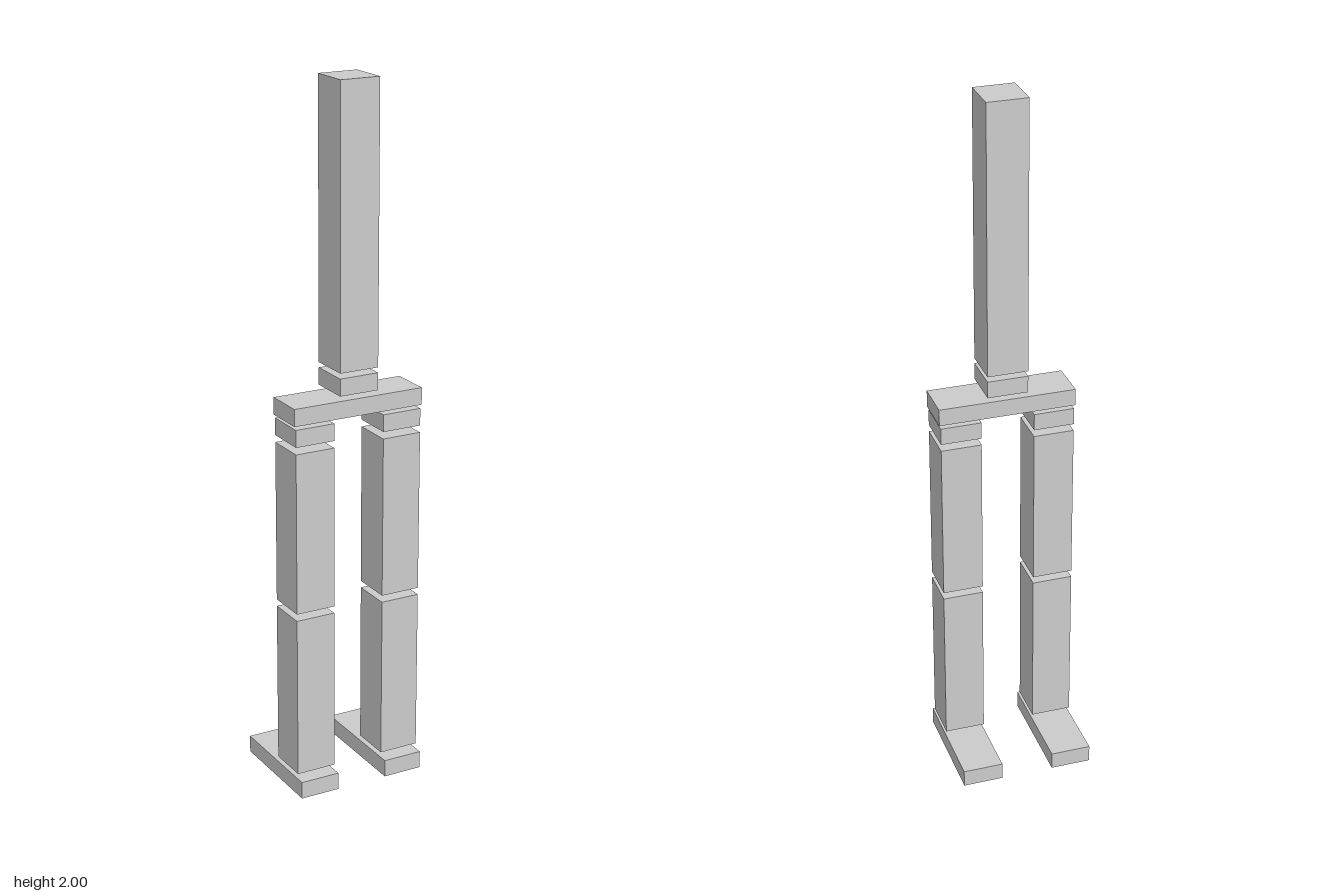
import * as THREE from 'three';

const LIMB_W = 0.116;  // width of torso and legs
const DEPTH = 0.12;    // common depth of the upper blocks
const BODY_Z = 0.078;  // body sits towards the front of the feet
const LEG_X = 0.134;   // leg offset from the centre line

const material = new THREE.MeshStandardMaterial({ color: 0xcccccc, flatShading: true });

// A block given by its bottom and top heights
function block(name, width, y0, y1, depth = DEPTH, z = BODY_Z) {
  const mesh = new THREE.Mesh(new THREE.BoxGeometry(width, y1 - y0, depth), material);
  mesh.name = name;
  mesh.position.set(0, (y0 + y1) / 2, z);
  return mesh;
}

// One leg: foot, shin, thigh and hip joint, stacked with small gaps
function makeLeg(name, x) {
  const leg = new THREE.Group();
  leg.name = name;
  leg.position.x = x;
  leg.add(
    block('foot', LIMB_W, 0, 0.05, 0.323, 0),
    block('shin', LIMB_W, 0.066, 0.533, ),
    block('thigh', LIMB_W, 0.553, 1.015),
    block('hipJoint', LIMB_W, 1.035, 1.084),
  );
  return leg;
}

export function createModel() {
  const model = new THREE.Group();
  model.name = 'blockFigure';

  // Legs
  model.add(makeLeg('leftLeg', LEG_X), makeLeg('rightLeg', -LEG_X));

  // Pelvis, waist and torso
  model.add(
    block('pelvis', 0.392, 1.094, 1.143),
    block('waist', LIMB_W, 1.157, 1.206),
    block('torso', LIMB_W, 1.221, 2),
  );
  return model;
}
